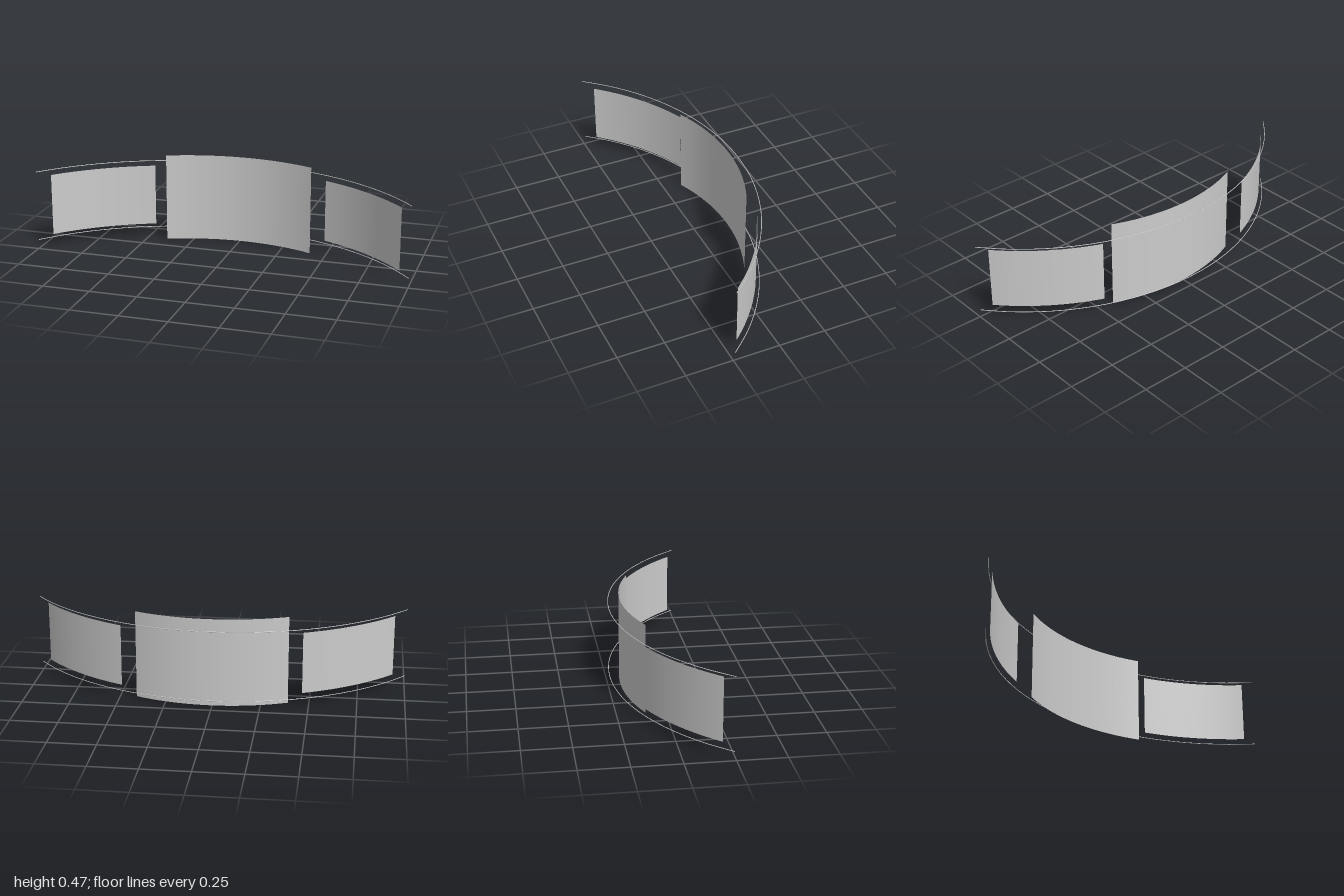
import * as THREE from 'three';

const material = new THREE.MeshStandardMaterial({ color: 0xcccccc, side: THREE.DoubleSide });

// Thin upright screen: an arc of a cylinder bulging towards -z, between x0 and x1
function curvedPanel(name, { x0, x1, y0, y1, radius, cx = 0, cz }) {
  const a0 = Math.asin((x0 - cx) / radius);
  const a1 = Math.asin((x1 - cx) / radius);
  const geometry = new THREE.CylinderGeometry(
    radius, radius, y1 - y0, 20, 1, true, Math.PI - a1, a1 - a0);
  const mesh = new THREE.Mesh(geometry, material);
  mesh.name = name;
  mesh.position.set(cx, (y0 + y1) / 2, cz);
  return mesh;
}

// Hair-thin rail following the full arc at height y
function rail(name, y) {
  const radius = 1.282, cz = 1.042, half = Math.asin(1 / radius);
  const points = [];
  for (let i = 0; i <= 16; i++) {
    const a = -half + (2 * half * i) / 16;
    points.push(new THREE.Vector3(radius * Math.sin(a), y, cz - radius * Math.cos(a)));
  }
  const curve = new THREE.CatmullRomCurve3(points);
  const mesh = new THREE.Mesh(new THREE.TubeGeometry(curve, 32, 0.002, 6), material);
  mesh.name = name;
  return mesh;
}

export function createModel() {
  const model = new THREE.Group();
  model.name = 'curvedPanelDisplay';

  // Large middle panel, set slightly in front of the rails
  model.add(curvedPanel('centerPanel', {
    x0: -0.39, x1: 0.413, y0: 0, y1: 0.475, radius: 1.013, cx: 0.0115, cz: 0.83 }));

  // Smaller panels on both sides, between the rails
  const side = { y0: 0.071, y1: 0.403, radius: 1.257, cz: 1.035 };
  model.add(curvedPanel('leftPanel', { x0: 0.487, x1: 0.947, ...side }));
  model.add(curvedPanel('rightPanel', { x0: -0.935, x1: -0.465, ...side }));

  // Rails above and below
  model.add(rail('topRail', 0.426), rail('bottomRail', 0.048));
  return model;
}
